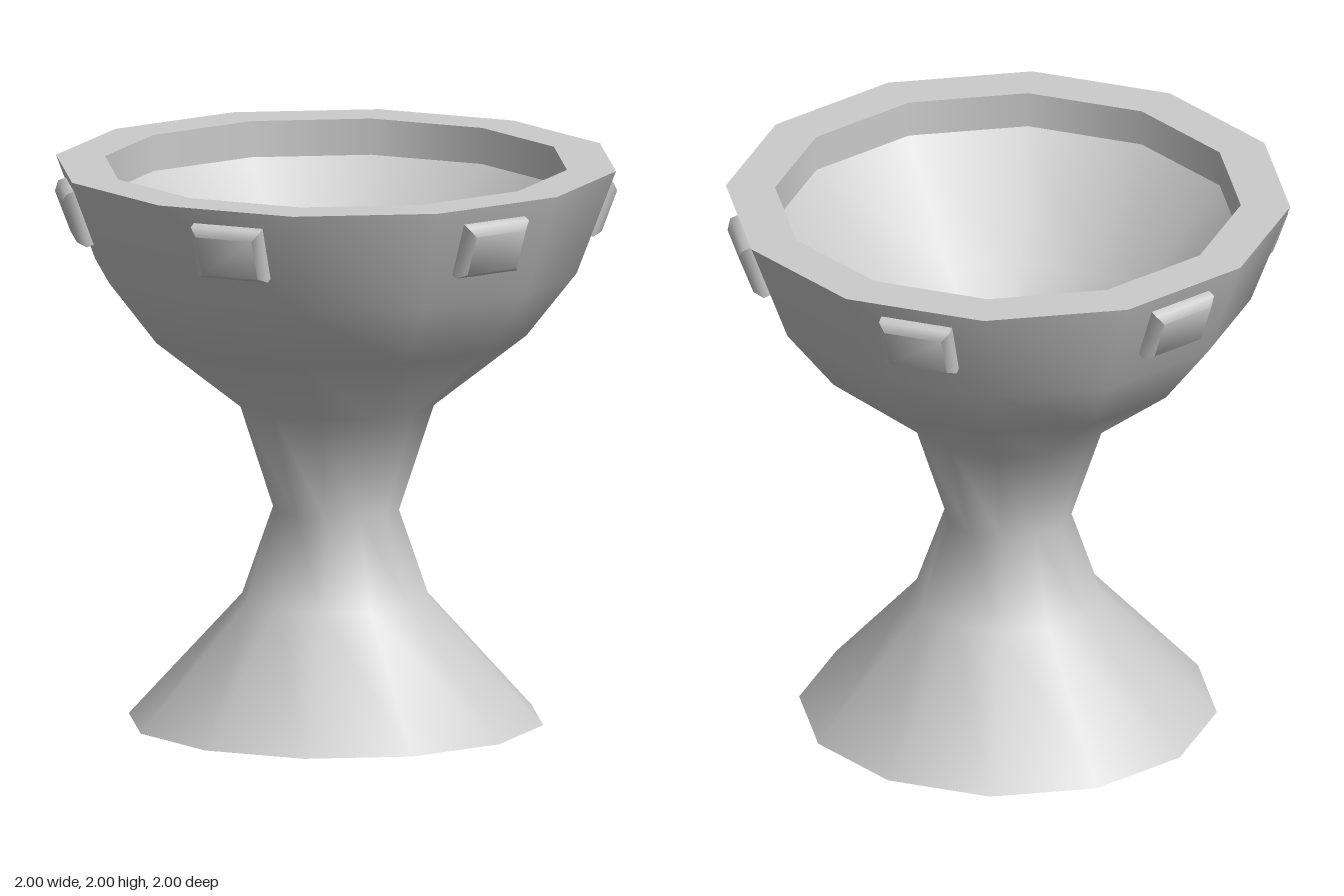
import * as THREE from 'three';
import { mergeVertices, toCreasedNormals } from 'three/addons/utils/BufferGeometryUtils.js';

const SIDES = 12;
const material = new THREE.MeshStandardMaterial({ color: 0xcccccc });

// A twelve-sided turned surface; separate pieces keep sharp edges between them
function turned(name, profile) {
  const points = profile.map(([r, y]) => new THREE.Vector2(r, y));
  const mesh = new THREE.Mesh(new THREE.LatheGeometry(points, SIDES), material);
  mesh.name = name;
  return mesh;
}

// Pillow-like rectangular stone, facing +z, its back at z = 0
function stoneGeometry(width, height, depth, bevel) {
  const w = width / 2 - bevel, h = height / 2 - bevel;
  const shape = new THREE.Shape([
    new THREE.Vector2(-w, -h), new THREE.Vector2(w, -h),
    new THREE.Vector2(w, h), new THREE.Vector2(-w, h),
  ]);
  let geo = new THREE.ExtrudeGeometry(shape, {
    depth: depth - 2 * bevel, bevelEnabled: true,
    bevelThickness: bevel, bevelSize: bevel, bevelSegments: 1,
  });
  geo.translate(0, 0, bevel);
  geo.deleteAttribute('normal');
  geo.deleteAttribute('uv');
  geo = mergeVertices(geo, 1e-4);
  return toCreasedNormals(geo, Math.PI / 3);
}

export function createModel() {
  const goblet = new THREE.Group();
  goblet.name = 'goblet';

  // Foot, stem and bowl in one smooth outer wall
  goblet.add(turned('outerWall', [
    [0.74, 0], [0.335, 0.445], [0.225, 0.76], [0.35, 1.14],
    [0.68, 1.4], [0.86, 1.63], [1, 2],
  ]));
  goblet.add(turned('footBase', [[0, 0], [0.74, 0]]));

  // Rim and hollow
  goblet.add(turned('rim', [[1, 2], [0.825, 2]]));
  goblet.add(turned('innerLip', [[0.825, 2], [0.825, 1.87]]));
  goblet.add(turned('innerBowl', [[0.825, 1.87], [0.5, 1.5], [0.11, 1.2]]));
  goblet.add(turned('bowlFloor', [[0.11, 1.2], [0, 1.2]]));

  // Six stones, each set on every second facet of the bowl
  const geo = stoneGeometry(0.265, 0.205, 0.09, 0.025);
  const lean = Math.atan2(0.14, 0.37);
  for (let i = 0; i < 6; i++) {
    const setting = new THREE.Group();
    setting.name = 'stoneSetting' + (i + 1);
    setting.rotation.y = THREE.MathUtils.degToRad(45 + 60 * i);
    const stone = new THREE.Mesh(geo, material);
    stone.name = 'stone';
    stone.position.set(0, 1.86, 0.875);
    stone.rotation.x = lean;
    setting.add(stone);
    goblet.add(setting);
  }
  return goblet;
}
